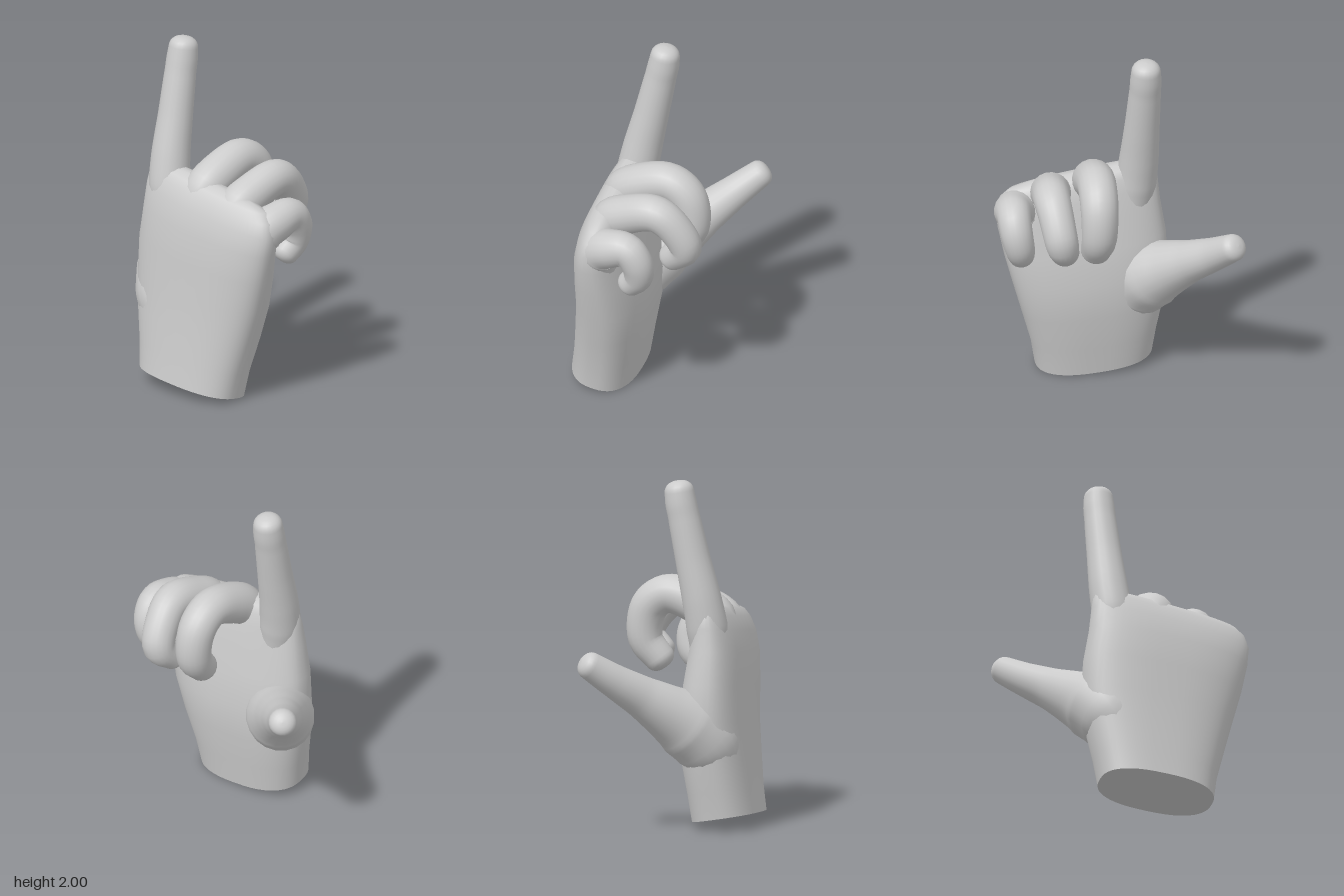
import * as THREE from 'three';

const skin = new THREE.MeshStandardMaterial({ color: 0xcccccc });

// Skin closed rings of points into one smooth surface.
function loft(name, rings) {
  const n = rings[0].length, index = [];
  for (let i = 0; i < rings.length - 1; i++) {
    for (let j = 0; j < n; j++) {
      const a = i * n + j, b = i * n + (j + 1) % n;
      index.push(a, b, b + n, a, b + n, a + n);
    }
  }
  const geo = new THREE.BufferGeometry().setFromPoints(rings.flat());
  geo.setIndex(index);
  geo.computeVertexNormals();
  const mesh = new THREE.Mesh(geo, skin);
  mesh.name = name;
  return mesh;
}

// Tapered digit along a curve; each joint is [x, y, z, radius]. The tip is blunt and rounded.
function digit(name, joints) {
  const STEPS = 36, SIDES = 20;
  const curve = new THREE.CatmullRomCurve3(joints.map(([x, y, z]) => new THREE.Vector3(x, y, z)), false, 'centripetal');
  const frames = curve.computeFrenetFrames(STEPS, false);
  const ring = (center, r, k) => Array.from({ length: SIDES }, (_, j) => {
    const a = j / SIDES * Math.PI * 2;
    return center.clone()
      .addScaledVector(frames.normals[k], r * Math.cos(a))
      .addScaledVector(frames.binormals[k], r * Math.sin(a));
  });
  const rings = [];
  for (let k = 0; k <= STEPS; k++) {
    const s = curve.getUtoTmapping(k / STEPS) * (joints.length - 1);
    const i = Math.min(Math.floor(s), joints.length - 2);
    const r = THREE.MathUtils.lerp(joints[i][3], joints[i + 1][3], s - i);
    rings.push(ring(curve.getPointAt(k / STEPS), r, k));
  }
  const tip = curve.getPointAt(1), r = joints.at(-1)[3];
  for (let k = 1; k <= 6; k++) {
    const a = k / 6 * Math.PI / 2;
    const center = tip.clone().addScaledVector(frames.tangents[STEPS], r * 0.75 * Math.sin(a));
    rings.push(ring(center, r * Math.max(Math.cos(a), 0.001) ** 0.8, STEPS));
  }
  return loft(name, rings);
}

// Rounded-oblong cross-section of the palm, sloping down toward the little finger.
function palmRing([y, x0, x1, z0, z1, slopeX, slopeZ]) {
  const SIDES = 48, p = 2 / 2.5;
  const pow = v => Math.sign(v) * Math.abs(v) ** p;
  return Array.from({ length: SIDES }, (_, j) => {
    const a = j / SIDES * Math.PI * 2;
    const dx = (x1 - x0) / 2 * pow(Math.sin(a)), dz = (z1 - z0) / 2 * pow(Math.cos(a));
    return new THREE.Vector3((x0 + x1) / 2 + dx, y + slopeX * dx + slopeZ * dz, (z0 + z1) / 2 + dz);
  });
}

export function createModel() {
  const hand = new THREE.Group();
  hand.name = 'pointingHand';

  // Palm from wrist to knuckles: y, x range, z range, slope along x, slope along z
  const sections = [
    [0.048, -0.25, 0.42, 0.08, 0.46, -0.08, 0.17],
    [0.20, -0.272, 0.445, 0.055, 0.44, -0.08, 0.1],
    [0.40, -0.31, 0.50, 0.02, 0.42, -0.08, 0.05],
    [0.60, -0.33, 0.555, 0.005, 0.40, -0.08, 0],
    [0.80, -0.32, 0.605, 0.035, 0.39, -0.1, 0],
    [0.98, -0.29, 0.64, 0.065, 0.375, -0.12, 0],
    [1.10, -0.277, 0.652, 0.09, 0.345, -0.14, 0],
    [1.18, -0.265, 0.63, 0.11, 0.31, -0.15, 0],
    [1.225, -0.23, 0.58, 0.135, 0.275, -0.15, 0],
    [1.245, -0.14, 0.47, 0.17, 0.24, -0.15, 0],
    [1.25, 0.16, 0.17, 0.2, 0.205, -0.15, 0],
  ];
  const rings = sections.map(palmRing);
  hand.add(loft('palm', rings));

  // Flat cut at the wrist
  const center = rings[0].reduce((s, v) => s.add(v), new THREE.Vector3()).divideScalar(rings[0].length);
  hand.add(loft('wristCut', [rings[0].map(() => center.clone()), rings[0]]));

  // Raised index finger
  hand.add(digit('indexFinger', [
    [-0.12, 0.95, 0.21, 0.1], [-0.148, 1.15, 0.2, 0.118], [-0.163, 1.32, 0.172, 0.112],
    [-0.172, 1.55, 0.122, 0.1], [-0.18, 1.8, 0.07, 0.09], [-0.181, 1.87, 0.055, 0.09], [-0.181, 1.935, 0.045, 0.084],
  ]));

  // Curled fingers
  hand.add(digit('middleFinger', [
    [0.08, 1.0, 0.19, 0.09], [0.1, 1.17, 0.19, 0.12], [0.115, 1.255, 0.07, 0.118], [0.125, 1.3, -0.1, 0.11],
    [0.13, 1.225, -0.205, 0.108], [0.135, 1.04, -0.23, 0.1], [0.14, 0.93, -0.15, 0.088],
  ]));
  hand.add(digit('ringFinger', [
    [0.32, 0.96, 0.19, 0.09], [0.34, 1.12, 0.18, 0.12], [0.365, 1.2, 0.06, 0.112], [0.385, 1.245, -0.1, 0.105],
    [0.378, 1.19, -0.19, 0.1], [0.355, 1.04, -0.27, 0.094], [0.325, 0.945, -0.185, 0.082],
  ]));
  hand.add(digit('littleFinger', [
    [0.48, 0.88, 0.2, 0.1], [0.535, 1.03, 0.18, 0.122], [0.57, 1.08, 0.1, 0.112], [0.585, 1.1, 0, 0.096],
    [0.58, 1.02, -0.06, 0.092], [0.56, 0.92, -0.06, 0.084], [0.545, 0.86, -0.01, 0.076],
  ]));

  // Thumb, swelling into the ball at its base
  hand.add(digit('thumb', [
    [-0.08, 0.34, 0.24, 0.15], [-0.15, 0.49, 0.2, 0.19], [-0.225, 0.61, 0.1, 0.195], [-0.315, 0.7, -0.005, 0.155],
    [-0.41, 0.79, -0.12, 0.12], [-0.52, 0.89, -0.25, 0.096], [-0.605, 0.985, -0.37, 0.08],
  ]));

  return hand;
}
